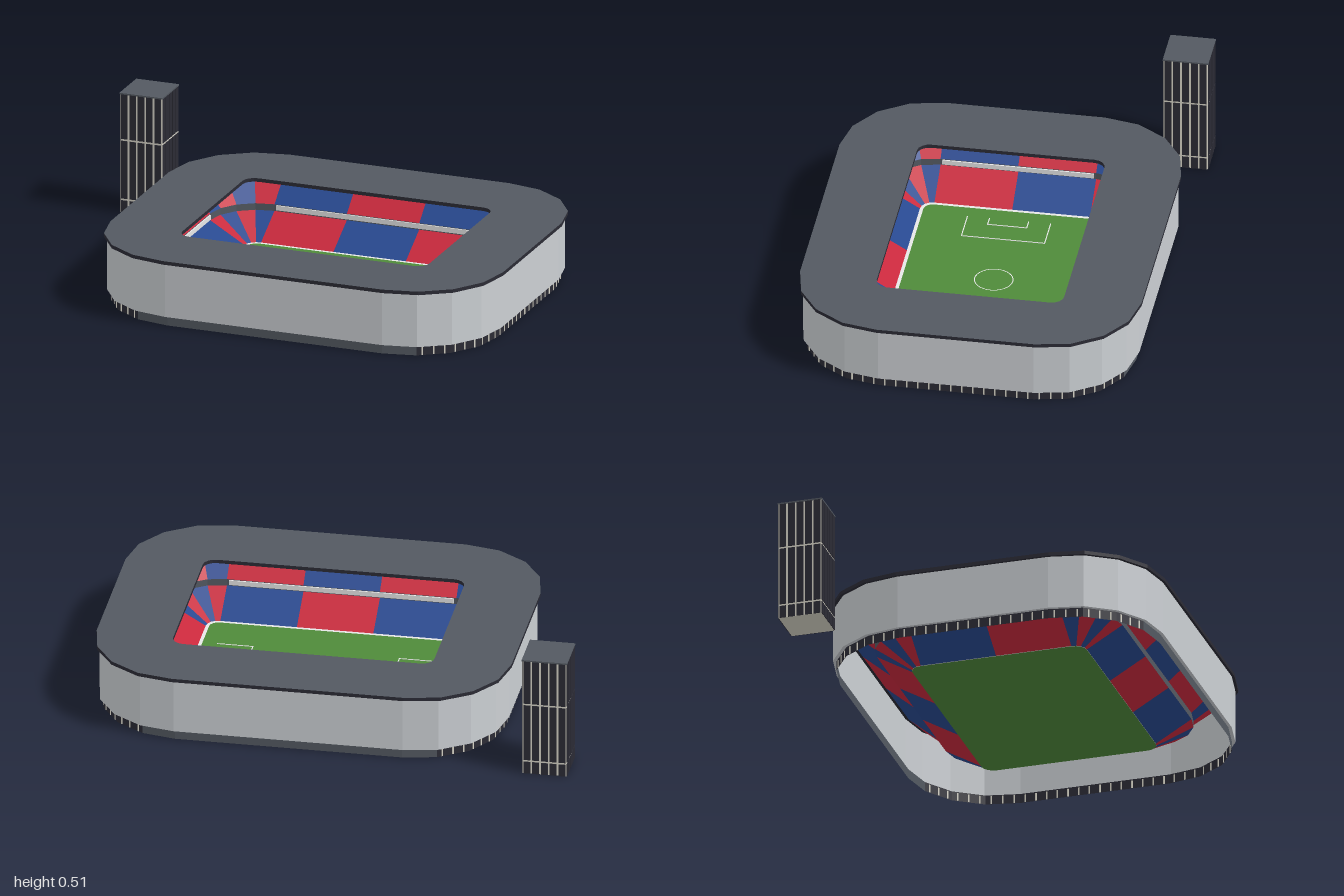
import * as THREE from 'three';

const mat = (name, color) => {
  const m = new THREE.MeshStandardMaterial({ color, side: THREE.DoubleSide, flatShading: true });
  m.name = name;
  return m;
};

// Rounded rectangle split into 26 segments: 3 per long side, 2 per short side, 4 per corner
function loop(hx, hz, r) {
  const pts = [];
  const corners = [[1, -1, 3], [1, 1, 2], [-1, 1, 3], [-1, -1, 2]];
  const at = (k, a) => {
    const [sx, sz] = corners[k];
    const t = -Math.PI / 2 + (k + a) * Math.PI / 2;
    return [sx * (hx - r) + r * Math.cos(t), sz * (hz - r) + r * Math.sin(t)];
  };
  for (let k = 0; k < 4; k++) {
    const p = at((k + 3) % 4, 1), q = at(k, 0), n = corners[k][2];
    for (let i = 0; i < n; i++) {
      pts.push([p[0] + (q[0] - p[0]) * i / n, p[1] + (q[1] - p[1]) * i / n]);
    }
    for (let i = 0; i < 4; i++) pts.push(at(k, i / 4));
  }
  return pts;
}

// Strip between two loops; pick(i) chooses the material index of each segment
function band(name, a, ya, b, yb, materials, pick = () => 0) {
  const pos = [], geo = new THREE.BufferGeometry();
  a.forEach((p, i) => {
    const j = (i + 1) % a.length;
    const A = [p[0], ya, p[1]], B = [b[i][0], yb, b[i][1]];
    const C = [b[j][0], yb, b[j][1]], D = [a[j][0], ya, a[j][1]];
    pos.push(...A, ...B, ...D, ...B, ...C, ...D);
    geo.addGroup(i * 6, 6, pick(i));
  });
  geo.setAttribute('position', new THREE.Float32BufferAttribute(pos, 3));
  geo.computeVertexNormals();
  const mesh = new THREE.Mesh(geo, materials);
  mesh.name = name;
  return mesh;
}

export function createModel() {
  const wallGrey = mat('pale cladding', 0xcbcfd3);
  const roofGrey = mat('roof grey', 0x535961);
  const dark = mat('dark trim', 0x2b2b35);
  const cream = mat('cream stone', 0xd8d5c8);
  const green = mat('grass', 0x4f8a3a);
  const white = mat('white', 0xffffff);
  const red = mat('red seats', 0xc8283c);
  const blue = mat('blue seats', 0x27488f);

  const model = new THREE.Group();
  const stadium = new THREE.Group();
  stadium.name = 'stadium';
  stadium.position.set(0.15, 0, 0.013);
  model.add(stadium);

  const box = (parent, name, m, w, h, d, x, y, z) => {
    const mesh = new THREE.Mesh(new THREE.BoxGeometry(w, h, d), m);
    mesh.name = name;
    mesh.position.set(x, y, z);
    parent.add(mesh);
    return mesh;
  };

  // Outer shell: base, cladding and roof slab
  const baseLoop = loop(0.825, 0.675, 0.36);
  const wallLoop = loop(0.839, 0.688, 0.37);
  const roofLoop = loop(0.85, 0.698, 0.375);
  const openLoop = loop(0.535, 0.383, 0.05);
  // Glazed base on the short sides and the corners beside them
  const glazed = (i) => {
    const k = i % 13;
    return k > 3 && k < 12 ? 1 : 0;
  };
  stadium.add(
    band('base', baseLoop, 0, baseLoop, 0.04, [roofGrey, dark], glazed),
    band('baseSoffit', wallLoop, 0.04, baseLoop, 0.04, [wallGrey]),
    band('outerWall', wallLoop, 0.04, wallLoop, 0.268, [wallGrey]),
    band('roofTop', roofLoop, 0.281, openLoop, 0.281, [roofGrey]),
    band('roofUnderside', openLoop, 0.266, roofLoop, 0.266, [dark]),
    band('roofOuterRim', roofLoop, 0.266, roofLoop, 0.281, [dark]),
    band('roofInnerRim', openLoop, 0.281, openLoop, 0.266, [dark]),
  );

  // Slim posts in the glazed base
  baseLoop.forEach((p, i) => {
    if (!glazed(i)) return;
    const q = baseLoop[(i + 1) % baseLoop.length];
    const len = Math.hypot(q[0] - p[0], q[1] - p[1]);
    const n = Math.round(len / 0.045);
    for (let k = 0; k < n; k++) {
      const t = (k + 0.5) / n;
      const post = box(stadium, 'basePost', cream, 0.006, 0.034, 0.004,
        p[0] + (q[0] - p[0]) * t, 0.018, p[1] + (q[1] - p[1]) * t);
      post.rotation.y = -Math.atan2(q[1] - p[1], q[0] - p[0]);
    }
  });

  // Two tiers of seats with alternating colours and a balcony between them
  const pitchLoop = loop(0.52, 0.368, 0.05);
  const balconyLoop = loop(0.67, 0.518, 0.2);
  const topLoop = loop(0.825, 0.674, 0.355);
  stadium.add(
    band('lowerSeats', balconyLoop, 0.1, pitchLoop, 0.012, [red, blue], (i) => i % 2),
    band('balcony', balconyLoop, 0.128, balconyLoop, 0.1, [roofGrey]),
    band('upperSeats', topLoop, 0.262, balconyLoop, 0.128, [red, blue], (i) => (i + 1) % 2),
  );
  for (const s of [-1, 1]) {
    box(stadium, 'longBalconyBoard', white, 0.92, 0.02, 0.006, 0, 0.116, s * 0.514);
    box(stadium, 'shortBalconyBoard', white, 0.006, 0.02, 0.62, s * 0.666, 0.116, 0);
  }

  // Pitch with a white border
  const shape = new THREE.Shape(pitchLoop.map(([x, z]) => new THREE.Vector2(x, -z)));
  const pitch = new THREE.Mesh(new THREE.ShapeGeometry(shape), green);
  pitch.name = 'pitch';
  pitch.rotation.x = -Math.PI / 2;
  pitch.position.y = 0.01;
  stadium.add(pitch, band('pitchBorder', pitchLoop, 0.014, loop(0.506, 0.354, 0.038), 0.014, [white]));

  // Pitch markings
  const line = (x0, z0, x1, z1) => box(stadium, 'pitchLine', white,
    Math.abs(x1 - x0) + 0.004, 0.002, Math.abs(z1 - z0) + 0.004, (x0 + x1) / 2, 0.012, (z0 + z1) / 2);
  for (const s of [-1, 1]) {
    for (const [depth, half] of [[0.045, 0.08], [0.145, 0.17]]) {
      const x0 = s * 0.445, x1 = x0 - s * depth;
      line(x1, -half, x1, half);
      for (const z of [-half, half]) line(x0, z, x1, z);
    }
  }
  const circle = new THREE.Mesh(new THREE.RingGeometry(0.076, 0.08, 32), white);
  circle.name = 'centreCircle';
  circle.rotation.x = -Math.PI / 2;
  circle.position.set(0, 0.013, -0.013);
  stadium.add(circle);

  // Tower block: cream core, dark window strips, grey roof
  const tower = new THREE.Group();
  tower.name = 'tower';
  tower.position.set(-0.907, 0, -0.62);
  model.add(tower);
  box(tower, 'towerCore', cream, 0.18, 0.504, 0.18, 0, 0.252, 0);
  box(tower, 'towerRoof', roofGrey, 0.186, 0.006, 0.186, 0, 0.507, 0);
  for (let s = 0; s < 4; s++) {
    const side = new THREE.Group();
    side.name = 'towerSide';
    side.rotation.y = s * Math.PI / 2;
    tower.add(side);
    for (const [y0, y1] of [[0, 0.052], [0.06, 0.306], [0.314, 0.504]]) {
      for (let c = -2; c <= 2; c++) {
        box(side, 'windowStrip', dark, 0.028, y1 - y0, 0.003, c * 0.036, (y0 + y1) / 2, 0.0915);
      }
    }
  }
  return model;
}
